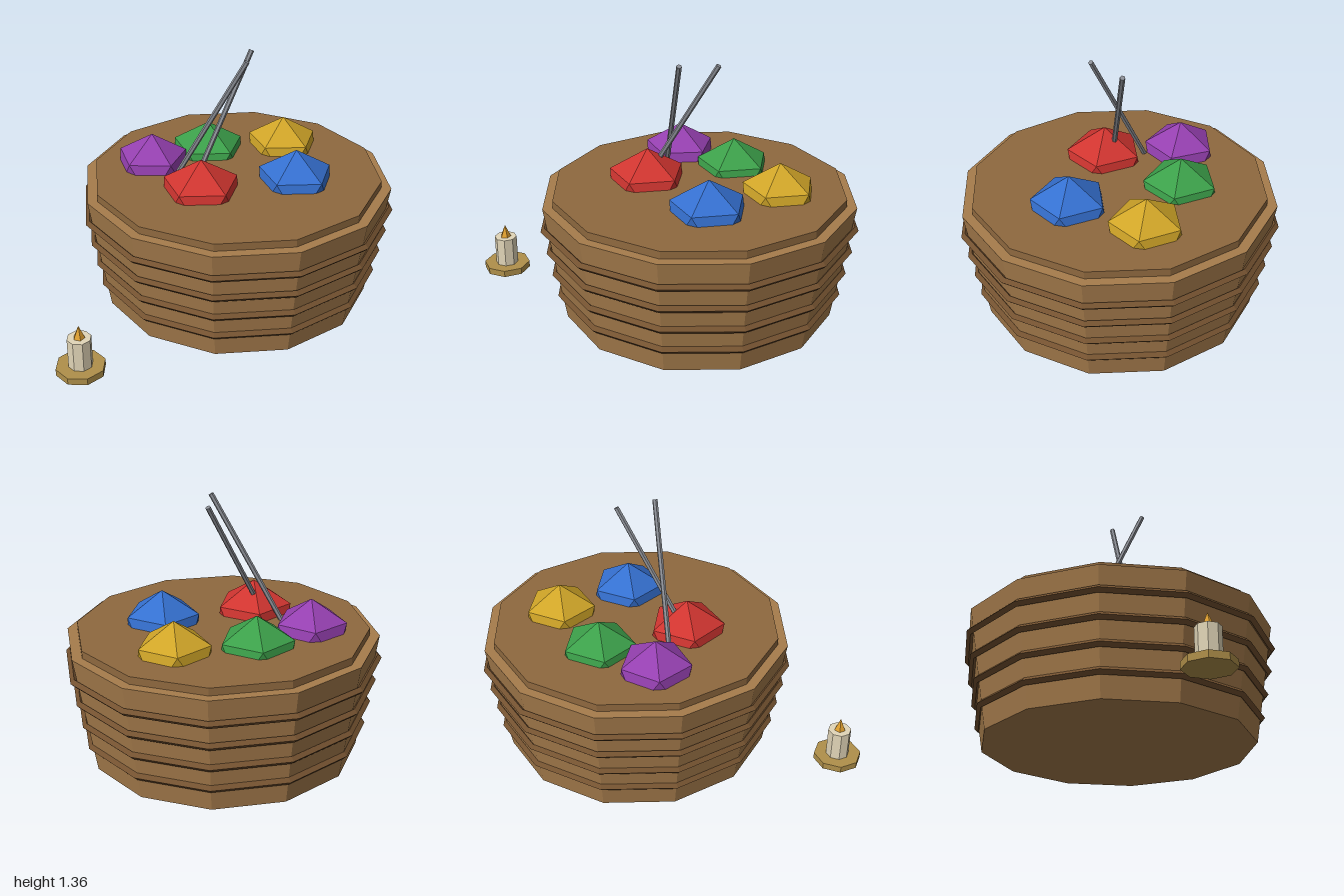
import * as THREE from 'three';

const mat = (color) => new THREE.MeshStandardMaterial({ color, flatShading: true });

export function createModel() {
  const model = new THREE.Group();
  const add = (name, geometry, material, x, y, z, parent = model) => {
    const mesh = new THREE.Mesh(geometry, material);
    mesh.name = name;
    mesh.position.set(x, y, z);
    parent.add(mesh);
    return mesh;
  };

  // Twelve-sided tub with its hoops and lid
  const tub = new THREE.Group();
  tub.name = 'tub';
  tub.position.x = 0.155;
  model.add(tub);
  add('tubWall', new THREE.CylinderGeometry(0.825, 0.72, 0.64, 12), mat(0xa67c4c), 0, 0.32, 0, tub);
  add('lid', new THREE.CylinderGeometry(0.772, 0.772, 0.04, 12), mat(0x8f693f), 0, 0.66, 0, tub);
  const hoopMat = mat(0x745230);
  for (let i = 0; i < 4; i++) {
    const hoop = new THREE.TorusGeometry(0.745 + i * 0.025, 0.02, 4, 12).rotateX(Math.PI / 2);
    add('hoop', hoop, hoopMat, 0, 0.13 + i * 0.128, 0, tub);
  }

  // Gems: icosahedra with a corner up, half sunk in the lid
  const tilt = -Math.atan(2 / (1 + Math.sqrt(5)));
  const gems = [
    ['redGem', 0xd03530, -0.095, 0.13, 0.225, 0.85, 0],
    ['blueGem', 0x3570d0, 0.41, 0.2, 0.22, 0.85, 0],
    ['yellowGem', 0xd0a528, 0.52, -0.215, 0.212, 0.845, 0],
    ['greenGem', 0x3ca04a, 0.113, -0.317, 0.217, 0.837, 0],
    ['purpleGem', 0x9540b0, -0.233, -0.257, 0.21, 0.848, -0.08],
  ];
  for (const [name, color, x, z, r, top, spin] of gems) {
    const geometry = new THREE.IcosahedronGeometry(r, 0).rotateZ(tilt).rotateY(spin);
    add(name, geometry, mat(color), x, top - r, z);
  }

  // Two crossed sticks
  const stickMat = mat(0x8a8d94);
  const sticks = [
    [[-0.165, 0.66, -0.08], [0.147, 1.355, 0.14]],
    [[-0.15, 0.64, 0.1], [0.247, 1.34, -0.04]],
  ];
  for (const [from, to] of sticks) {
    const a = new THREE.Vector3(...from);
    const b = new THREE.Vector3(...to);
    const mid = a.clone().add(b).multiplyScalar(0.5);
    const stick = add('stick', new THREE.CylinderGeometry(0.014, 0.014, a.distanceTo(b), 6), stickMat, mid.x, mid.y, mid.z);
    stick.quaternion.setFromUnitVectors(new THREE.Vector3(0, 1, 0), b.sub(a).normalize());
  }

  // Candle on a dish
  const candle = new THREE.Group();
  candle.name = 'candle';
  candle.position.set(-0.873, 0, 0.51);
  model.add(candle);
  add('dish', new THREE.CylinderGeometry(0.127, 0.127, 0.036, 8), mat(0xb0904a), 0, 0.018, 0, candle);
  add('wax', new THREE.CylinderGeometry(0.062, 0.062, 0.16, 8), mat(0xe2d6b8), 0, 0.116, 0, candle);
  add('flame', new THREE.ConeGeometry(0.03, 0.07, 5), mat(0xe0a030), 0, 0.231, 0, candle);

  return model;
}
